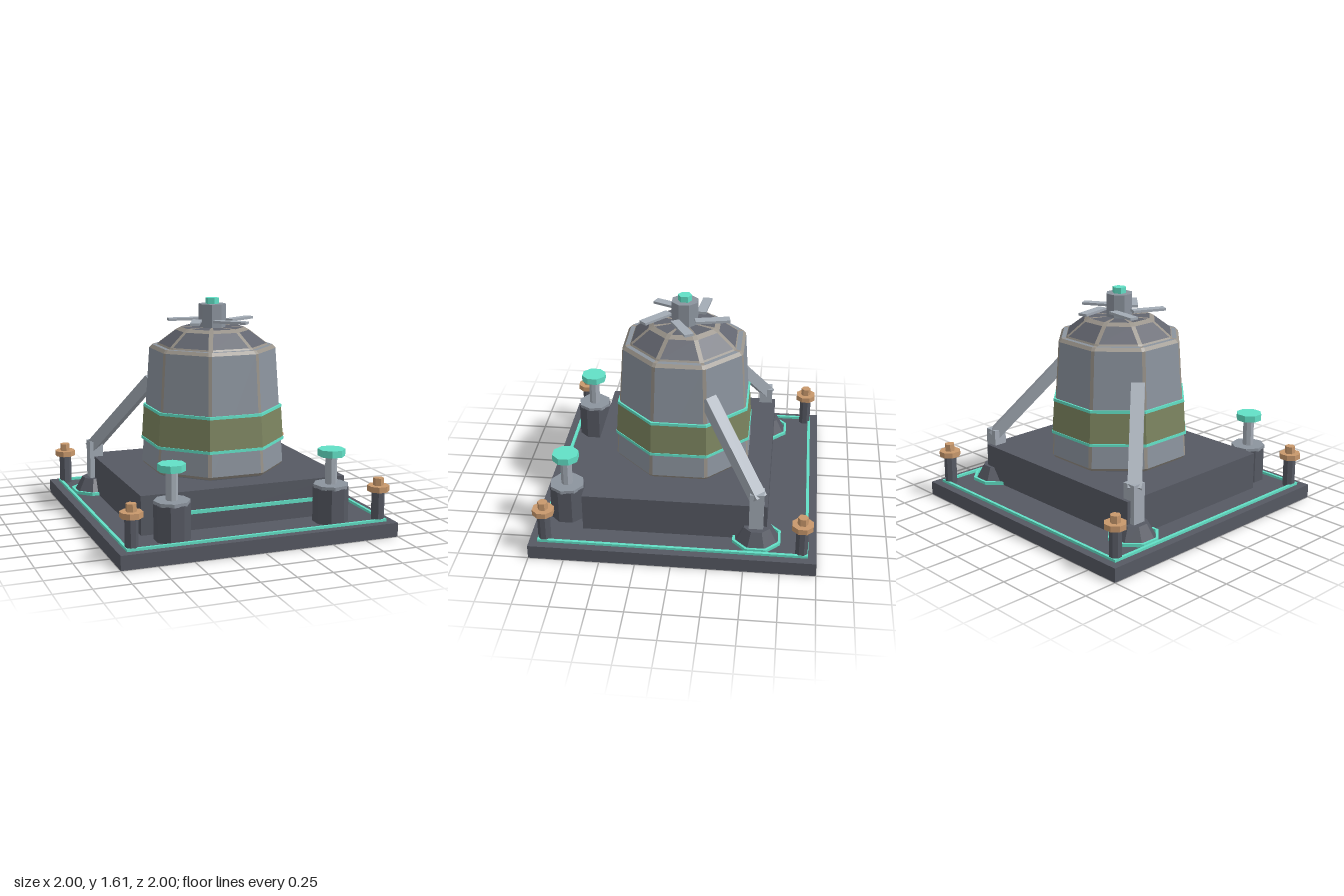
import * as THREE from 'three';

const mat = (color) => new THREE.MeshStandardMaterial({ color, flatShading: true });
const DARK = mat(0x565963), STEEL = mat(0x8c949e), PALE = mat(0xa3abb5), LID = mat(0x62656f);
const TEAL = mat(0x62e0c6), COPPER = mat(0xc8986c), OLIVE = mat(0x7d8560), WORN = mat(0x99938a);

function add(parent, name, geometry, material, x = 0, y = 0, z = 0) {
  const mesh = new THREE.Mesh(geometry, material);
  mesh.name = name;
  mesh.position.set(x, y, z);
  parent.add(mesh);
  return mesh;
}

const box = (w, h, d) => new THREE.BoxGeometry(w, h, d);

// Prism between heights y0 and y1; radii are measured to the flats, which face the axes
function prism(n, top, bottom, y0, y1, open = false) {
  const k = Math.cos(Math.PI / n);
  return new THREE.CylinderGeometry(top / k, bottom / k, y1 - y0, n, 1, open, Math.PI / n)
    .translate(0, (y0 + y1) / 2, 0);
}

// Flat polygonal frame lying on the ground plane
function frame(n, outer, inner, height) {
  const loop = (r) => Array.from({ length: n }, (_, i) => {
    const a = ((i + 0.5) / n) * Math.PI * 2, R = r / Math.cos(Math.PI / n);
    return new THREE.Vector2(R * Math.cos(a), R * Math.sin(a));
  });
  const shape = new THREE.Shape(loop(outer));
  shape.holes.push(new THREE.Path(loop(inner)));
  return new THREE.ExtrudeGeometry(shape, { depth: height, bevelEnabled: false }).rotateX(-Math.PI / 2);
}

// Octagonal shell with chamfered corners. Rings are [y, radius to flat, bevel above?].
// Wide faces go to the panels, corner strips and bevels to the worn edges.
function chamferedShell(parent, name, rings, cut, material) {
  const panels = [], edges = [];
  const ring = ([y, r]) => {
    const pts = [], half = r * Math.tan(Math.PI / 8), c = Math.min(cut, half);
    for (let i = 0; i < 8; i++) {
      const a = (i * Math.PI) / 4;
      for (const s of [-(half - c), half - c]) {
        pts.push([r * Math.sin(a) + s * Math.cos(a), y, r * Math.cos(a) - s * Math.sin(a)]);
      }
    }
    return pts;
  };
  for (let k = 0; k < rings.length - 1; k++) {
    const lo = ring(rings[k]), hi = ring(rings[k + 1]);
    for (let i = 0; i < 16; i++) {
      const j = (i + 1) % 16;
      const list = i % 2 || rings[k][2] ? edges : panels;
      list.push(...lo[i], ...lo[j], ...hi[j], ...lo[i], ...hi[j], ...hi[i]);
    }
  }
  for (const [suffix, list, m] of [['Panels', panels, material], ['Edges', edges, WORN]]) {
    const g = new THREE.BufferGeometry();
    g.setAttribute('position', new THREE.Float32BufferAttribute(list, 3));
    g.computeVertexNormals();
    add(parent, name + suffix, g, m);
  }
}

function makeBase() {
  const g = new THREE.Group();
  g.name = 'base';
  add(g, 'basePlate', box(2, 0.1, 2), DARK, 0, 0.05, 0);
  add(g, 'baseTrim', frame(4, 0.942, 0.921, 0.018), TEAL, 0, 0.1, 0);
  add(g, 'plinth', box(1.51, 0.28, 1.3), DARK, 0, 0.235, 0);
  add(g, 'plinthLightStrip', box(1.26, 0.025, 0.016), TEAL, 0, 0.228, 0.656);
  return g;
}

function makeVessel() {
  const g = new THREE.Group();
  g.name = 'vessel';
  chamferedShell(g, 'body', [
    [0.375, 0.45], [0.385, 0.468, true], [0.405, 0.482], [1.245, 0.427, true], [1.268, 0.407], [1.268, 0.3],
  ], 0.014, STEEL);
  // Coloured bands wrapped around the body
  add(g, 'oliveBand', prism(8, 0.464, 0.479, 0.58, 0.82), OLIVE);
  add(g, 'lowerGlowBand', prism(8, 0.483, 0.484, 0.57, 0.59), TEAL);
  add(g, 'upperGlowBand', prism(8, 0.467, 0.468, 0.81, 0.83), TEAL);
  chamferedShell(g, 'dome', [
    [1.262, 0.36], [1.268, 0.375, true], [1.28, 0.367], [1.376, 0.25, true], [1.396, 0.215], [1.396, 0],
  ], 0.017, LID);
  return g;
}

function makeRotor() {
  const g = new THREE.Group();
  g.name = 'rotor';
  add(g, 'shaft', prism(8, 0.09, 0.09, 1.38, 1.563), STEEL);
  add(g, 'shaftCap', new THREE.CylinderGeometry(0.05, 0.05, 0.045, 6), TEAL, 0, 1.583, 0);
  // Five skewed blades
  for (let i = 0; i < 5; i++) {
    const a = (i * Math.PI * 2) / 5;
    const blade = add(g, 'blade', box(0.245, 0.018, 0.066), PALE, 0.21 * Math.cos(a), 1.446, 0.21 * Math.sin(a));
    blade.rotation.y = 0.52 - a;
  }
  return g;
}

function makeBrace(s) {
  const g = new THREE.Group();
  g.name = s > 0 ? 'leftBrace' : 'rightBrace';
  const x = 0.74 * s, z = -0.58;
  add(g, 'footTrim', frame(8, 0.168, 0.15, 0.022), TEAL, x, 0.1, z);
  add(g, 'foot', prism(8, 0.09, 0.146, 0.1, 0.21), DARK, x, 0, z);
  add(g, 'post', box(0.1, 0.29, 0.1), PALE, x, 0.345, z + 0.005);
  // Slanted strut from the post to the vessel wall
  const from = new THREE.Vector3(0.755 * s, 0.44, -0.585), to = new THREE.Vector3(0.395 * s, 1.005, -0.2);
  const strut = add(g, 'strut', box(0.095, 0.085, from.distanceTo(to)), PALE);
  strut.position.copy(from).add(to).multiplyScalar(0.5);
  strut.lookAt(to);
  return g;
}

function makeValve(s) {
  const g = new THREE.Group();
  g.name = s > 0 ? 'leftValve' : 'rightValve';
  g.position.set(0.582 * s, 0, 0.785);
  add(g, 'drum', prism(8, 0.115, 0.115, 0.1, 0.35), DARK);
  add(g, 'drumLid', prism(8, 0.115, 0.115, 0.345, 0.37), STEEL).rotation.y = 0.2;
  add(g, 'stem', prism(8, 0.038, 0.038, 0.36, 0.575), PALE);
  add(g, 'handwheel', prism(8, 0.088, 0.088, 0.568, 0.617), TEAL);
  return g;
}

function makeBolt(x, z) {
  const g = new THREE.Group();
  g.name = 'cornerBolt';
  g.position.set(x, 0, z);
  add(g, 'stud', prism(8, 0.042, 0.042, 0.1, 0.32), DARK);
  add(g, 'collar', prism(8, 0.072, 0.072, 0.315, 0.355), COPPER);
  add(g, 'boltHead', new THREE.CylinderGeometry(0.037, 0.037, 0.06, 6), COPPER, 0, 0.378, 0);
  return g;
}

export function createModel() {
  const model = new THREE.Group();
  model.name = 'reactorPlatform';
  model.add(makeBase(), makeVessel(), makeRotor());
  for (const s of [-1, 1]) {
    model.add(makeBrace(s), makeValve(s), makeBolt(0.895 * s, 0.895), makeBolt(0.895 * s, -0.895));
  }
  return model;
}
